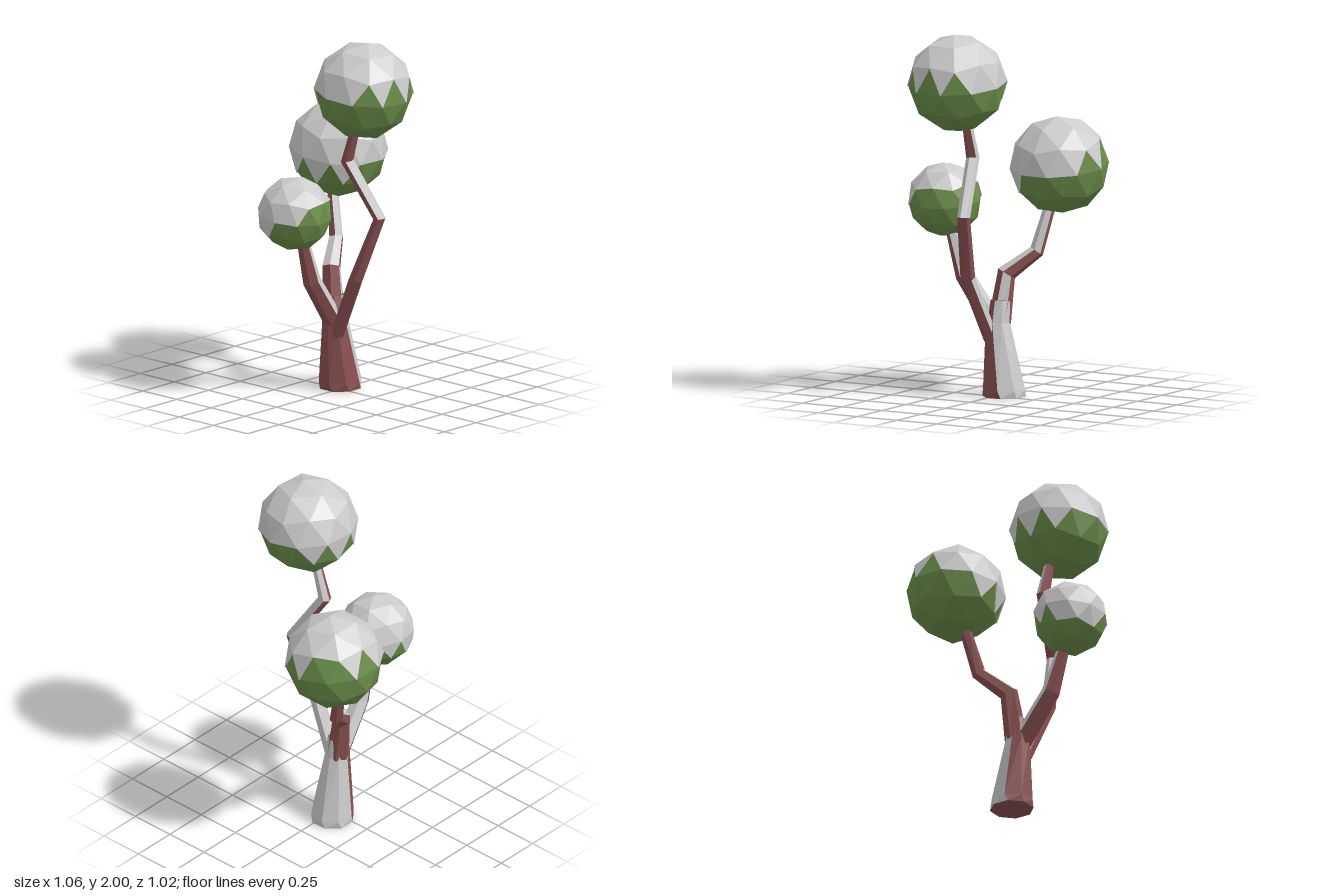
import * as THREE from 'three';

const mat = (color) => new THREE.MeshStandardMaterial({ color, flatShading: true, roughness: 1 });
const snow = mat(0xcccccc), bark = mat(0x8b5151), leaf = mat(0x6b8e4a);

// Flat-shaded mesh from a list of [a, b, c] triangles
function facetMesh(tris, material, name) {
  const geo = new THREE.BufferGeometry().setFromPoints(tris.flat());
  geo.computeVertexNormals();
  const mesh = new THREE.Mesh(geo, material);
  mesh.name = name;
  return mesh;
}

function faceNormal([a, b, c]) {
  return new THREE.Triangle(a, b, c).getNormal(new THREE.Vector3());
}

// Faceted limb through rings [x, y, z, radius]; faces turned toward snowDir are snowy
function limb(name, rings, sides, snowDir, limit, twist = 0) {
  const centres = rings.map(([x, y, z]) => new THREE.Vector3(x, y, z));
  const ref = new THREE.Vector3(0, 0, 1);
  const loops = rings.map(([, , , r], k) => {
    const t = new THREE.Vector3();
    if (k > 0) t.add(centres[k].clone().sub(centres[k - 1]).normalize());
    if (k < rings.length - 1) t.add(centres[k + 1].clone().sub(centres[k]).normalize());
    if (name === 'trunk') t.set(0, 1, 0);
    t.normalize();
    const u = t.clone().cross(ref).normalize();
    const v = u.clone().cross(t);
    return Array.from({ length: sides }, (_, i) => {
      const a = ((i + 0.5) / sides) * Math.PI * 2 + twist * k;
      return centres[k].clone().addScaledVector(u, r * Math.cos(a)).addScaledVector(v, r * Math.sin(a));
    });
  });

  const snowy = [], bare = [];
  const last = loops.length - 1;
  for (let i = 0; i < sides; i++) {
    const j = (i + 1) % sides;
    for (let k = 0; k < last; k++) {
      const p = loops[k], q = loops[k + 1];
      const quad = [[p[i], q[i], p[j]], [q[i], q[j], p[j]]];
      const n = faceNormal(quad[0]).add(faceNormal(quad[1])).normalize();
      (n.dot(snowDir) > limit ? snowy : bare).push(...quad);
    }
    bare.push([centres[0], loops[0][i], loops[0][j]]);
    bare.push([centres[last], loops[last][j], loops[last][i]]);
  }
  const group = new THREE.Group();
  group.name = name;
  group.add(facetMesh(bare, bark, name + 'Bark'), facetMesh(snowy, snow, name + 'Snow'));
  return group;
}

// Leaf ball with a raised snow cap leaning along tilt
function crown(name, centre, radius, tilt, limit, spin) {
  const geo = new THREE.IcosahedronGeometry(radius, 1);
  geo.rotateZ(-Math.atan(2 / (1 + Math.sqrt(5)))).rotateY(spin).rotateX(0.12);
  const pos = geo.attributes.position;
  const dir = new THREE.Vector3(...tilt).normalize();
  const at = (i) => new THREE.Vector3().fromBufferAttribute(pos, i);
  const key = (v) => v.toArray().map((n) => Math.round(n * 1000)).join();

  const all = [], capped = [];
  for (let i = 0; i < pos.count; i += 3) {
    const tri = [at(i), at(i + 1), at(i + 2)];
    all.push(tri);
    if (faceNormal(tri).dot(dir) > limit) capped.push(tri);
  }

  // Cap faces, plus a rim along every edge that borders bare leaves
  const edges = new Set();
  for (const t of capped) t.forEach((a, e) => edges.add(key(a) + '|' + key(t[(e + 1) % 3])));
  const shell = [];
  const lift = (v) => v.clone().multiplyScalar(1.025);
  for (const t of capped) {
    shell.push(t.map(lift));
    t.forEach((a, e) => {
      const b = t[(e + 1) % 3];
      if (edges.has(key(b) + '|' + key(a))) return;
      shell.push([lift(a), a, lift(b)], [lift(b), a, b]);
    });
  }
  const group = new THREE.Group();
  group.name = name;
  group.add(facetMesh(all, leaf, name + 'Leaves'), facetMesh(shell, snow, name + 'Snow'));
  group.position.set(...centre);
  return group;
}

export function createModel() {
  const tree = new THREE.Group();
  tree.name = 'snowyTree';
  const up = new THREE.Vector3(0.2, 1, 0).normalize();

  // Trunk, flared at the foot, snow blown against its left side
  tree.add(limb('trunk', [
    [0.04, 0, -0.035, 0.119], [0.04, 0.04, -0.035, 0.119],
    [0.0, 0.4, -0.035, 0.068], [0.01, 0.52, -0.05, 0.055],
  ], 8, new THREE.Vector3(1, 0, -0.2).normalize(), 0.1, 0.15));

  // Three crooked branches
  tree.add(limb('frontBranch', [
    [-0.02, 0.31, 0.0, 0.04], [-0.06, 0.66, 0.175, 0.04], [-0.01, 1.01, 0.3, 0.035],
    [-0.065, 1.31, 0.115, 0.036], [-0.065, 1.52, 0.18, 0.026],
  ], 6, up, 0.2));
  tree.add(limb('backBranch', [
    [0.005, 0.4, -0.045, 0.062], [0.025, 0.66, -0.085, 0.052], [0.16, 0.78, -0.175, 0.04],
    [0.2, 1.0, -0.235, 0.032], [0.215, 1.08, -0.24, 0.03],
  ], 6, up, 0.2));
  tree.add(limb('sideBranch', [
    [-0.01, 0.37, -0.03, 0.055], [-0.2, 0.64, -0.02, 0.05],
    [-0.27, 0.86, -0.015, 0.035], [-0.3, 0.95, -0.02, 0.03],
  ], 6, up, 0.2));

  // Leaf balls
  tree.add(crown('frontCrown', [-0.08, 1.728, 0.25], 0.265, [0.12, 1, -0.15], 0.0, 0.2));
  tree.add(crown('backCrown', [0.26, 1.246, -0.25], 0.265, [-0.3, 1, 0.3], 0.02, 0.9));
  tree.add(crown('sideCrown', [-0.327, 1.04, -0.025], 0.201, [-0.35, 1, -0.3], 0.05, 0.5));
  return tree;
}
